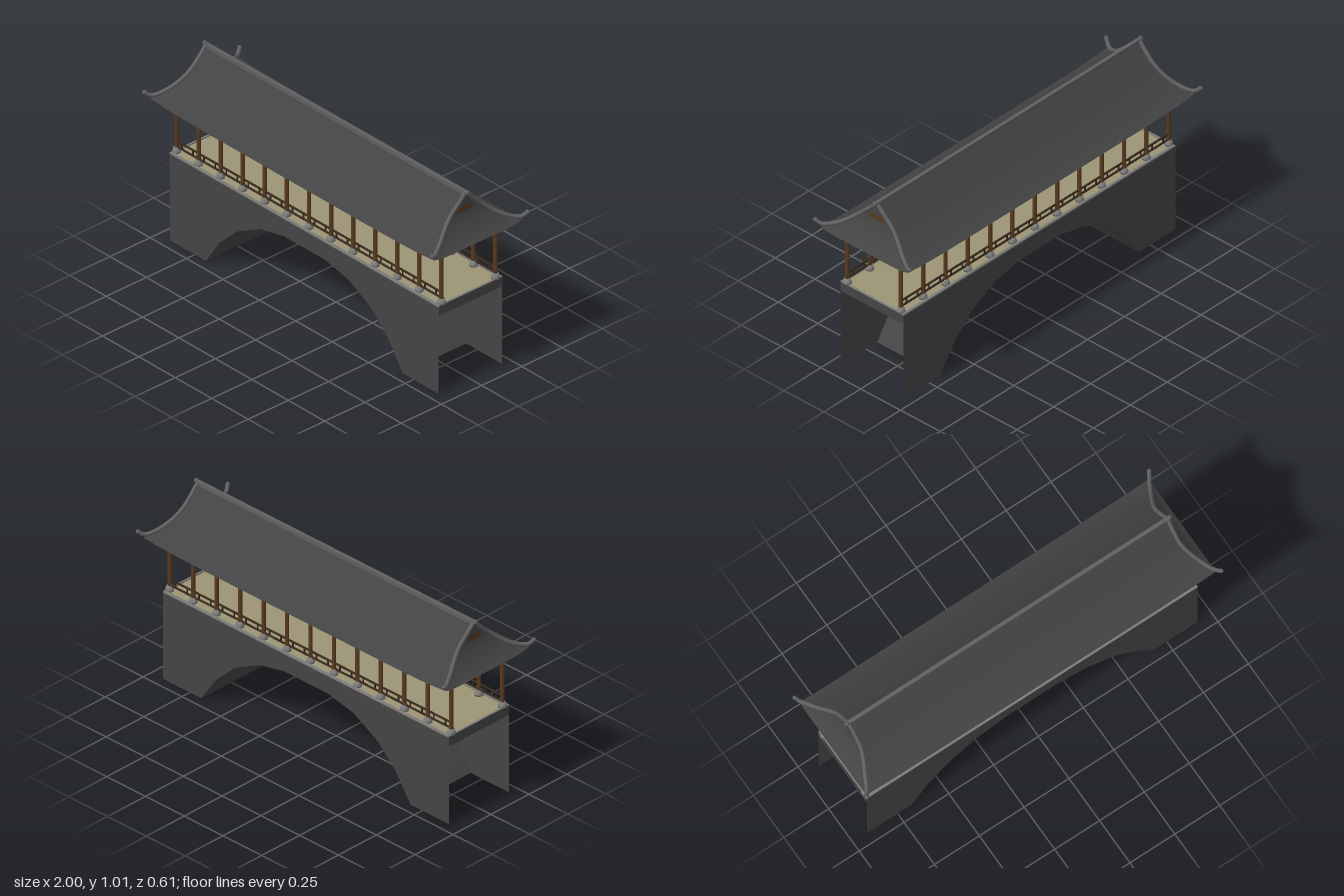
import * as THREE from 'three';

export function createModel() {
  const mat = (name, color, side = THREE.DoubleSide) => {
    const m = new THREE.MeshStandardMaterial({ color, side });
    m.name = name;
    return m;
  };
  const stone = mat('dark stone', 0x444444);
  const tile = mat('roof tile', 0x434343);
  const trim = mat('ridge trim', 0x606060);
  const pale = mat('pale stone', 0x7c7c7a);
  const wood = mat('brown wood', 0x59391f);
  const rail = mat('dark wood', 0x38291c);
  const deckTan = mat('tan deck', 0x9c9474);

  const root = new THREE.Group();
  root.name = 'coveredBridge';
  const add = (name, geo, m, x = 0, y = 0, z = 0, parent = root) => {
    const mesh = new THREE.Mesh(geo, m);
    mesh.name = name;
    mesh.position.set(x, y, z);
    parent.add(mesh);
    return mesh;
  };
  const group = (name) => {
    const g = new THREE.Group();
    g.name = name;
    root.add(g);
    return g;
  };
  const box = (w, h, d) => new THREE.BoxGeometry(w, h, d);
  // Surface grid: fn(column, row) returns [x, y, z]
  const grid = (nu, nv, fn) => {
    const geo = new THREE.PlaneGeometry(1, 1, nu, nv);
    const pos = geo.attributes.position;
    for (let j = 0; j <= nv; j++)
      for (let i = 0; i <= nu; i++) pos.setXYZ(j * (nu + 1) + i, ...fn(i, j));
    geo.computeVertexNormals();
    return geo;
  };

  // Arched side walls and the vault between them
  const HX = 0.922, HZ = 0.198, DECK = 0.47;
  const half = [[0.675, 0], [0.58, 0.14], [0.46, 0.255], [0.305, 0.338], [0.14, 0.373]];
  const arch = [...half, ...half.map(([x, y]) => [-x, y]).reverse()];
  const wall = new THREE.Shape();
  wall.moveTo(-HX, 0);
  wall.lineTo(-HX, DECK);
  wall.lineTo(HX, DECK);
  wall.lineTo(HX, 0);
  arch.forEach(([x, y]) => wall.lineTo(x, y));
  wall.closePath();
  const base = group('archedBase');
  add('frontWall', new THREE.ShapeGeometry(wall), stone, 0, 0, HZ, base);
  add('backWall', new THREE.ShapeGeometry(wall).rotateY(Math.PI), stone, 0, 0, -HZ, base);
  add('archVault', grid(arch.length - 1, 1, (i, j) => [...arch[i], j ? HZ : -HZ]), stone, 0, 0, 0, base);

  // Deck slab with dark ends and a pale kerb
  const deck = group('deck');
  add('deckSlab', box(HX * 2 - 0.006, 0.046, HZ * 2 - 0.004), deckTan, 0, 0.444, 0, deck);
  for (const s of [-1, 1]) {
    add('deckEnd', box(0.004, 0.05, HZ * 2), stone, s * HX, 0.445, 0, deck);
    add('sideKerb', box(HX * 2, 0.008, 0.014), pale, 0, DECK, s * (HZ - 0.006), deck);
    add('endKerb', box(0.01, 0.008, HZ * 2), pale, s * (HX - 0.004), DECK - 0.001, 0, deck);
  }

  // Columns on stepped stones, with railings between them
  const colonnade = group('colonnade');
  const BAYS = 12, STEP = 1.818 / BAYS, CZ = 0.168;
  const shaft = new THREE.CylinderGeometry(0.0105, 0.0105, 0.27, 12);
  const foot = new THREE.LatheGeometry(
    [[0, 0], [0.021, 0], [0.021, 0.01], [0.018, 0.012], [0.016, 0.028], [0, 0.03]]
      .map(([x, y]) => new THREE.Vector2(x, y)).reverse(), 12);
  for (const s of [-1, 1]) {
    for (let i = 0; i <= BAYS; i++) {
      const x = -0.909 + i * STEP;
      add('column', shaft, wood, x, 0.628, s * CZ, colonnade);
      add('columnBase', foot, pale, x, DECK, s * CZ, colonnade);
      if (i === BAYS) continue;
      for (const f of [0.25, 0.75])
        add('railPost', box(0.006, 0.03, 0.006), rail, x + f * STEP, 0.514, s * CZ, colonnade);
    }
    for (const y of [0.5, 0.53])
      add('rail', box(1.818, 0.007, 0.008), rail, 0, y, s * CZ, colonnade);
  }

  // Hip-and-gable roof: levels of [half depth, height, half length]
  const roof = group('roof');
  const levels = [[0.002, 0.985, 0.885], [0.05, 0.935, 0.885], [0.1, 0.888, 0.887], [0.15, 0.842, 0.903],
    [0.2, 0.802, 0.93], [0.24, 0.776, 0.952], [0.275, 0.76, 0.975]];
  const N = 24;
  // Eaves rise slightly towards the four corners
  const lift = (u, j) => 0.014 * Math.pow(Math.abs(u), 8) * Math.pow(j / (levels.length - 1), 3);
  const inner = [0.2, 0.755, 0.915];
  for (const s of [-1, 1]) {
    const along = (i) => s * (i / N * 2 - 1);
    const slope = (lv, j, u) => [u * lv[2], lv[1] + lift(u, j), s * lv[0]];
    const end = (lv, j, u) => [s * lv[2], lv[1] + lift(u, j), -u * lv[0]];
    add('roofSlope', grid(N, 6, (i, j) => slope(levels[j], j, along(i))), tile, 0, 0, 0, roof);
    add('roofEnd', grid(N, 6, (i, j) => end(levels[j], j, along(i))), tile, 0, 0, 0, roof);
    // Undersides of the eaves
    const under = (fn) => grid(N, 1, (i, j) => fn(j ? inner : levels[6], j ? 0 : 6, along(i)));
    add('sideEave', under(slope), tile, 0, 0, 0, roof);
    add('endEave', under(end), tile, 0, 0, 0, roof);

    // Rounded wooden panel in the gable
    const panel = new THREE.Shape();
    panel.absellipse(0, 0, 0.046, 0.034, 0, Math.PI);
    panel.closePath();
    add('gablePanel', new THREE.ShapeGeometry(panel, 16).rotateY(s * Math.PI / 2), wood,
      s * 0.89, 0.896, 0, roof);

    // Upturned hip ridges
    for (const t of [-1, 1]) {
      const path = [[0.89, 0.987, 0.004], [0.888, 0.938, 0.052], [0.89, 0.893, 0.1], [0.907, 0.848, 0.15],
        [0.933, 0.812, 0.2], [0.956, 0.793, 0.245], [0.973, 0.79, 0.272], [0.988, 0.808, 0.296]]
        .map(([x, y, z]) => new THREE.Vector3(s * x, y, t * z));
      add('hipRidge', new THREE.TubeGeometry(new THREE.CatmullRomCurve3(path), 32, 0.01, 8), trim, 0, 0, 0, roof);
      add('hipTip', new THREE.SphereGeometry(0.011, 10, 8), trim, s * 0.988, 0.809, t * 0.296, roof);
    }
    add('ridgeFinial', new THREE.SphereGeometry(0.012, 10, 8), trim, s * 0.9, 0.994, 0, roof);
  }
  add('ceiling', box(inner[2] * 2, 0.004, inner[0] * 2), tile, 0, 0.757, 0, roof);
  add('mainRidge', box(1.79, 0.022, 0.018), trim, 0, 0.987, 0, roof);

  return root;
}
